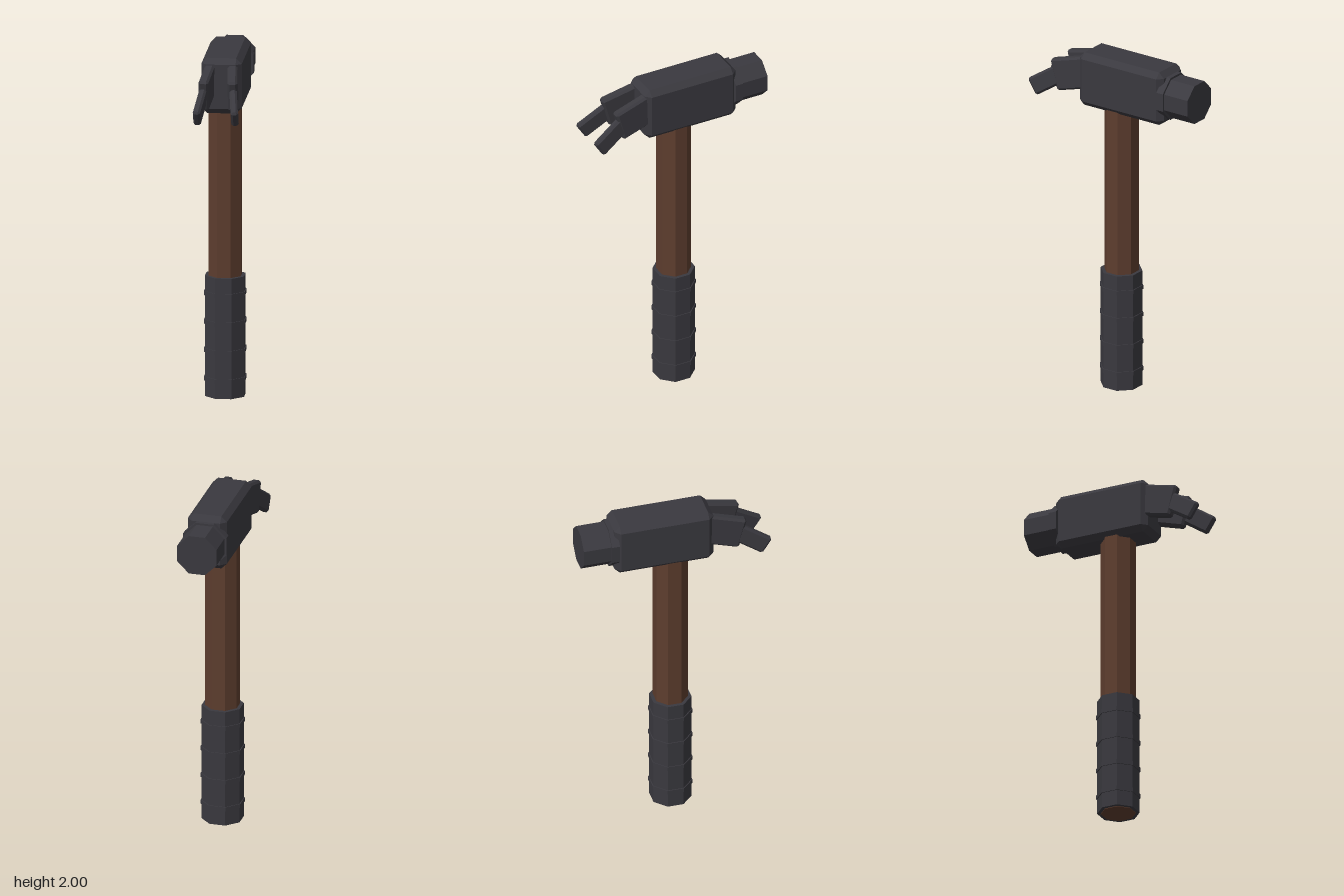
import * as THREE from 'three';
import { ConvexGeometry } from 'three/addons/geometries/ConvexGeometry.js';

const darkSteel = new THREE.MeshStandardMaterial({ color: 0x3a393f, flatShading: true });
darkSteel.name = 'dark steel';
const wood = new THREE.MeshStandardMaterial({ color: 0x5d3d2e, flatShading: true });
wood.name = 'brown wood';

// Box with every edge cut flat by c
function chamferBox(w, h, d, c) {
  const points = [];
  for (const x of [-w / 2, w / 2]) for (const y of [-h / 2, h / 2]) for (const z of [-d / 2, d / 2]) {
    const cx = x - Math.sign(x) * c, cy = y - Math.sign(y) * c, cz = z - Math.sign(z) * c;
    points.push(new THREE.Vector3(x, cy, cz), new THREE.Vector3(cx, y, cz), new THREE.Vector3(cx, cy, z));
  }
  return new ConvexGeometry(points);
}

// Octagonal prism with flats facing the axes; r is the distance to a flat
function octagon(r, length) {
  const radius = r / Math.cos(Math.PI / 8);
  return new THREE.CylinderGeometry(radius, radius, length, 8, 1, false, Math.PI / 8);
}

export function createModel() {
  const model = new THREE.Group();
  model.name = 'hammer';
  const add = (name, geometry, material, x, y, z) => {
    const mesh = new THREE.Mesh(geometry, material);
    mesh.name = name;
    mesh.position.set(x, y, z);
    model.add(mesh);
    return mesh;
  };
  const handleZ = -0.014;

  // Shaft, its end showing at the foot of the grip
  add('handle', octagon(0.092, 1.72), wood, 0, 0.86, handleZ);
  add('grip', octagon(0.111, 0.697), darkSteel, 0, 0.3515, handleZ);
  for (let i = 0; i < 4; i++) {
    add('gripBand' + (i + 1), octagon(0.116, 0.024), darkSteel, 0, 0.105 + i * 0.165, handleZ);
  }

  // Head block, collar and striking face
  add('head', chamferBox(0.228, 0.32, 0.58, 0.032), darkSteel, 0, 1.84, -0.075);
  add('collar', octagon(0.127, 0.046).rotateX(Math.PI / 2), darkSteel, 0, 1.842, -0.367);
  add('strikingFace', octagon(0.115, 0.2).rotateX(Math.PI / 2), darkSteel, 0, 1.842, -0.452);

  // Splayed claws, each bent downward in two steps
  for (const side of [1, -1]) {
    const label = side > 0 ? 'left' : 'right';
    const base = add(label + 'ClawBase', chamferBox(0.056, 0.187, 0.23, 0.012), darkSteel, side * 0.073, 1.851, 0.273);
    base.rotation.set(THREE.MathUtils.degToRad(15), side * THREE.MathUtils.degToRad(5), 0);
    const tip = add(label + 'ClawTip', chamferBox(0.042, 0.108, 0.2, 0.012), darkSteel, side * 0.0965, 1.775, 0.438);
    tip.rotation.set(THREE.MathUtils.degToRad(33), side * THREE.MathUtils.degToRad(7), 0);
  }
  return model;
}
